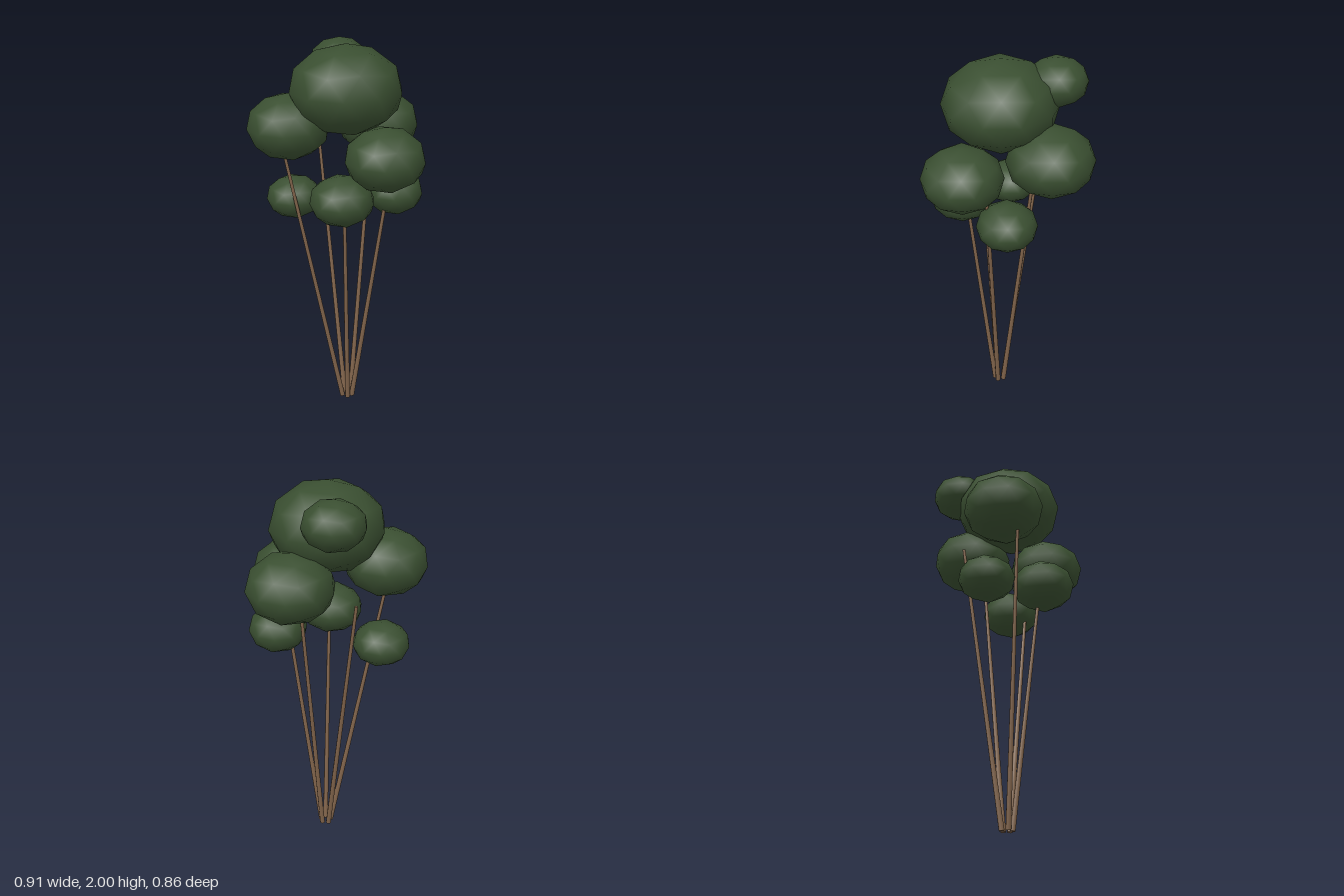
import * as THREE from 'three';

export function createModel() {
  const model = new THREE.Group();

  const leafGreen = new THREE.MeshStandardMaterial({ color: 0x3a4f31 });
  leafGreen.name = 'leafGreen';
  const barkBrown = new THREE.MeshStandardMaterial({ color: 0x80634a });
  barkBrown.name = 'barkBrown';

  // Low-poly sphere, turned so one corner points straight up
  const clumpGeometry = new THREE.IcosahedronGeometry(1, 1);
  clumpGeometry.rotateZ(-Math.atan(2 / (1 + Math.sqrt(5))));

  // Foliage clumps: name, centre, horizontal radius, vertical radius
  const clumps = [
    ['crownClump', [-0.013, 1.78, -0.038], 0.284, 0.22],
    ['leftClump', [0.25, 1.558, -0.135], 0.215, 0.168],
    ['rightClump', [-0.257, 1.6, -0.187], 0.208, 0.165],
    ['frontClump', [0.035, 1.487, 0.225], 0.2, 0.158],
    ['backTopClump', [0.107, 1.87, -0.278], 0.152, 0.117],
    ['lowRightClump', [-0.137, 1.275, 0.108], 0.163, 0.127],
    ['lowLeftClump', [0.2, 1.25, 0.084], 0.15, 0.12],
    ['lowBackClump', [-0.2, 1.2, -0.25], 0.145, 0.112],
  ];
  for (const [name, centre, radius, height] of clumps) {
    const clump = new THREE.Mesh(clumpGeometry, leafGreen);
    clump.name = name;
    clump.position.set(...centre);
    clump.scale.set(radius, height, radius);
    model.add(clump);
  }

  // Thin leaning stems fanning out from one foot: name, base, tip
  const stems = [
    ['rightStem', [-0.04, 0, -0.045], [-0.315, 1.48, -0.133]],
    ['frontRightStem', [-0.025, 0, -0.015], [-0.118, 1.28, 0.1]],
    ['backStem', [-0.012, 0, -0.066], [-0.01, 1.46, -0.298]],
    ['frontLeftStem', [0.004, 0, -0.015], [0.132, 1.46, 0.16]],
    ['leftStem', [0.015, 0, -0.045], [0.178, 1.47, -0.095]],
  ];
  const up = new THREE.Vector3(0, 1, 0);
  for (const [name, base, tip] of stems) {
    const from = new THREE.Vector3(...base);
    const along = new THREE.Vector3(...tip).sub(from);
    const geometry = new THREE.CylinderGeometry(0.008, 0.014, along.length(), 8);
    const stem = new THREE.Mesh(geometry, barkBrown);
    stem.name = name;
    stem.position.copy(from).addScaledVector(along, 0.5);
    stem.quaternion.setFromUnitVectors(up, along.normalize());
    model.add(stem);
  }

  return model;
}
